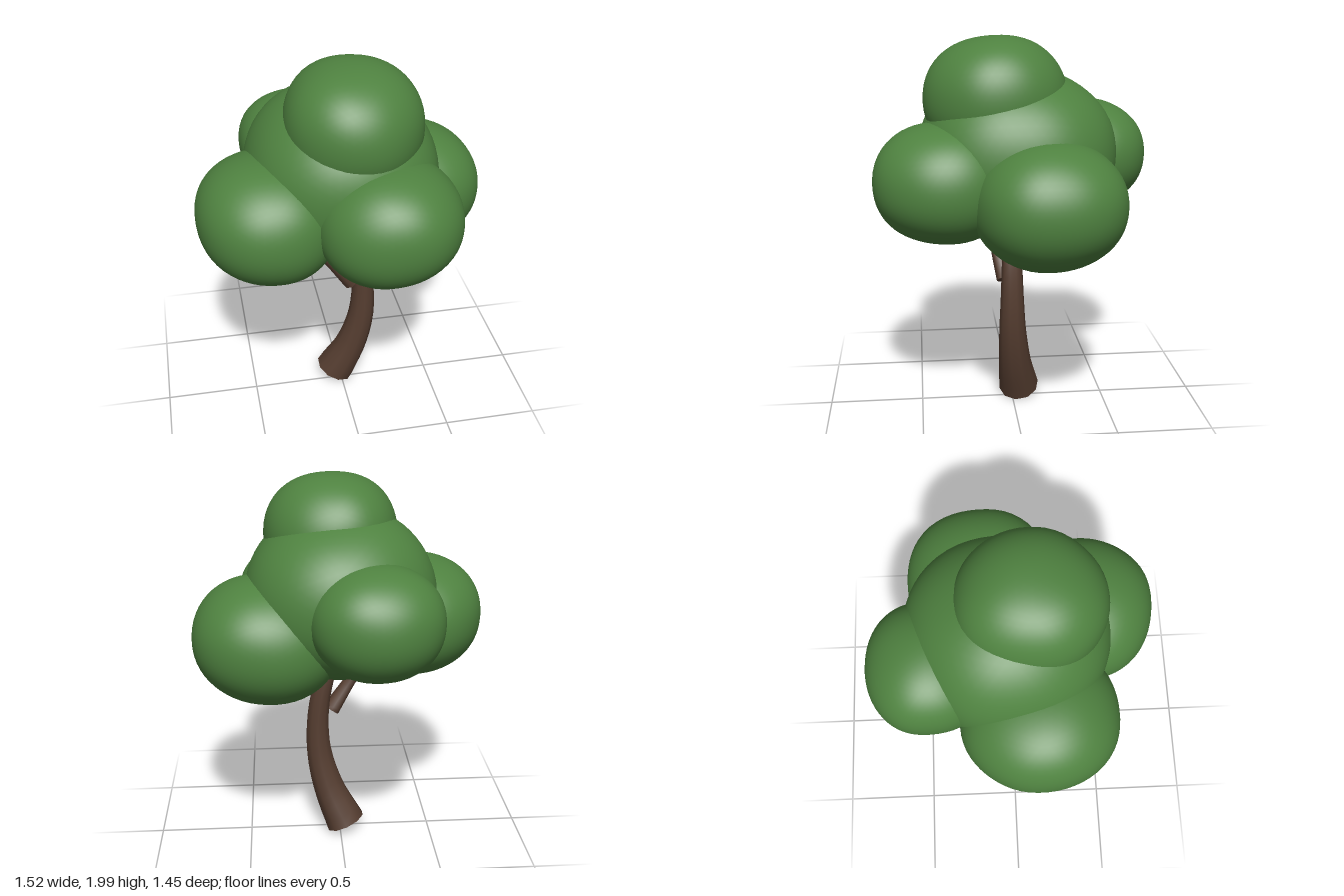
import * as THREE from 'three';
import { mergeVertices } from 'three/addons/utils/BufferGeometryUtils.js';

const leaf = new THREE.MeshStandardMaterial({ color: 0x4f8240 });
leaf.name = 'leaf green';
const bark = new THREE.MeshStandardMaterial({ color: 0x553d30 });
bark.name = 'bark brown';

// Tapered limb: a capped cylinder bent along a curve; each stop is [x, y, z, radius]
function limb(name, stops, sides) {
  const curve = new THREE.CatmullRomCurve3(stops.map(s => new THREE.Vector3(s[0], s[1], s[2])));
  const g = new THREE.CylinderGeometry(1, 1, 1, sides, 16);
  g.deleteAttribute('uv');
  const merged = mergeVertices(g);
  const pos = merged.attributes.position;
  const last = stops.length - 1;
  for (let i = 0; i < pos.count; i++) {
    const t = THREE.MathUtils.clamp(pos.getY(i) + 0.5, 0, 1);
    const k = Math.min(Math.floor(t * last), last - 1);
    const r = THREE.MathUtils.lerp(stops[k][3], stops[k + 1][3], t * last - k);
    const tangent = curve.getTangent(t);
    const side = new THREE.Vector3(1, 0, 0).addScaledVector(tangent, -tangent.x).normalize();
    const front = new THREE.Vector3().crossVectors(side, tangent);
    const p = curve.getPoint(t)
      .addScaledVector(side, pos.getX(i) * r)
      .addScaledVector(front, pos.getZ(i) * r);
    pos.setXYZ(i, p.x, p.y, p.z);
  }
  merged.computeVertexNormals();
  const mesh = new THREE.Mesh(merged, bark);
  mesh.name = name;
  return mesh;
}

// Leaf clump: a slightly squared, softly lumpy ellipsoid
function clump(name, center, radii, seed) {
  const g = new THREE.IcosahedronGeometry(1, 10);
  g.deleteAttribute('uv');
  g.deleteAttribute('normal');
  const merged = mergeVertices(g, 1e-4);
  const pos = merged.attributes.position;
  const v = new THREE.Vector3();
  const power = 2.15;
  for (let i = 0; i < pos.count; i++) {
    v.fromBufferAttribute(pos, i).normalize();
    const sum = Math.abs(v.x) ** power + Math.abs(v.y) ** power + Math.abs(v.z) ** power;
    const lump = 0.012 * Math.sin(3.1 * v.x + 2.3 * v.y + seed)
      + 0.01 * Math.sin(4.3 * v.z - 2.7 * v.x + seed * 2);
    v.multiplyScalar(sum ** (-1 / power) * (1 + lump));
    pos.setXYZ(i, v.x * radii[0], v.y * radii[1], v.z * radii[2]);
  }
  merged.computeVertexNormals();
  const mesh = new THREE.Mesh(merged, leaf);
  mesh.name = name;
  mesh.position.set(...center);
  return mesh;
}

export function createModel() {
  const tree = new THREE.Group();
  tree.name = 'tree';

  // Curved trunk and its side branch
  tree.add(limb('trunk', [
    [-0.03, 0.053, -0.04, 0.11],
    [0.055, 0.24, -0.01, 0.087],
    [0.108, 0.44, 0.007, 0.072],
    [0.12, 0.62, 0.01, 0.062],
    [0.105, 0.79, 0.01, 0.055],
    [0.07, 0.93, 0.01, 0.046],
  ], 10));
  tree.add(limb('branch', [
    [0.045, 0.71, 0.04, 0.047],
    [-0.05, 0.845, 0.075, 0.034],
    [-0.16, 1.0, 0.105, 0.027],
  ], 8));

  // Crown
  const crown = new THREE.Group();
  crown.name = 'crown';
  crown.add(
    clump('middleClump', [0, 1.39, -0.02], [0.5, 0.44, 0.51], 0.4),
    clump('topClump', [0.04, 1.68, 0.085], [0.35, 0.32, 0.365], 1.7),
    clump('rightClump', [-0.39, 1.235, 0.125], [0.37, 0.32, 0.395], 2.9),
    clump('leftClump', [0.38, 1.2, -0.15], [0.38, 0.32, 0.39], 4.1),
    clump('frontClump', [0.17, 1.275, 0.36], [0.36, 0.307, 0.36], 5.3),
    clump('backClump', [-0.15, 1.36, -0.415], [0.33, 0.285, 0.315], 3.6),
  );
  tree.add(crown);
  return tree;
}
